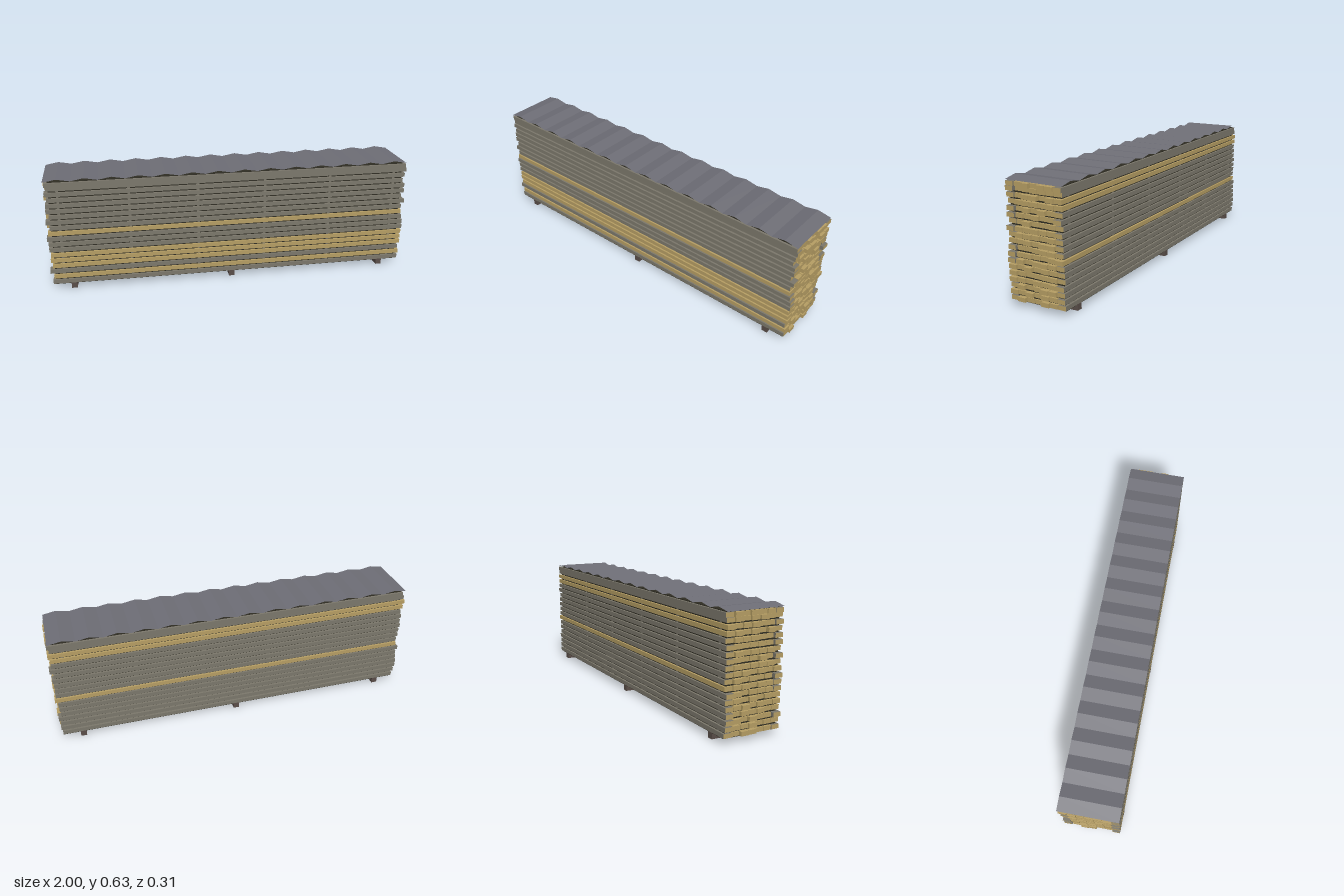
import * as THREE from 'three';

const LAYERS = 18, PITCH = 0.0313, BASE = 0.032, THICK = 0.022;
const COLS = 7, COL_PITCH = 0.0447, BOARD_W = 0.042;

function mat(name, color, side = THREE.FrontSide) {
  const m = new THREE.MeshStandardMaterial({ color, side });
  m.name = name;
  return m;
}

function box(name, w, h, d, x, y, z, material) {
  const mesh = new THREE.Mesh(new THREE.BoxGeometry(w, h, d), material);
  mesh.position.set(x, y, z);
  mesh.name = name;
  return mesh;
}

// Small seeded generator for the uneven board ends
function seeded(seed) {
  return () => {
    seed = (seed * 1664525 + 1013904223) % 4294967296;
    return seed / 4294967296;
  };
}

export function createModel() {
  const root = new THREE.Group();
  root.name = 'lumberStack';
  const fresh = mat('freshWood', 0xb59d63);
  const grey = mat('weatheredWood', 0x7b776b);
  const dark = mat('shadowGap', 0x2f2d23);
  const bearerWood = mat('bearerWood', 0x594d48);
  const sheet = mat('roofSheet', 0x6d6d75, THREE.DoubleSide);
  const weathered = [fresh, fresh, grey, grey, grey, grey]; // sawn ends stay pale
  const random = seeded(11);

  // Bearers under the stack
  for (const x of [-0.875, 0, 0.875]) {
    root.add(box('bearer', 0.032, BASE, 0.312, x, BASE / 2, 0, bearerWood));
  }

  // Dark core seen in the gaps, and dark underside
  root.add(box('core', 1.945, 0.58, 0.288, 0, 0.322, 0, dark));
  root.add(box('underside', 1.96, 0.002, 0.31, 0, 0.0315, 0, dark));

  // Board layers; the last one lies directly on the layer below
  const freshFront = [1, 3, 4, 5, 9], freshBack = [7, 15, 16];
  const boards = new THREE.Group();
  boards.name = 'boards';
  for (let k = 0; k <= LAYERS; k++) {
    const y = k < LAYERS
      ? BASE + THICK / 2 + k * PITCH
      : BASE + THICK * 1.5 + (LAYERS - 1) * PITCH;
    for (let c = 0; c < COLS; c++) {
      const left = 0.978 + random() * 0.022, right = 0.978 + random() * 0.022;
      const isFresh = c === COLS - 1 ? freshFront.includes(k)
        : c === 0 ? freshBack.includes(k) : true;
      boards.add(box('board', left + right, THICK, BOARD_W, (left - right) / 2, y,
        (c - (COLS - 1) / 2) * COL_PITCH, isFresh ? fresh : weathered));
    }
  }
  root.add(boards);

  // Spacer sticks between the layers
  const stickers = new THREE.Group();
  stickers.name = 'spacerSticks';
  for (let k = 0; k < LAYERS - 1; k++) {
    for (let i = 0; i < 6; i++) {
      stickers.add(box('spacerStick', 0.014, PITCH - THICK, 0.292, -0.925 + i * 0.37,
        BASE + k * PITCH + (THICK + PITCH) / 2, 0, grey));
    }
  }
  root.add(stickers);

  // Folded roof sheet
  const waves = 14;
  const geo = new THREE.PlaneGeometry(1.988, 0.312, waves * 2, 1).rotateX(-Math.PI / 2);
  const pos = geo.attributes.position;
  for (let i = 0; i < pos.count; i++) {
    pos.setY(i, (i % (waves * 2 + 1)) % 2 ? 0.627 : 0.614);
  }
  const roofGeo = geo.toNonIndexed();
  roofGeo.computeVertexNormals();
  const roof = new THREE.Mesh(roofGeo, sheet);
  roof.name = 'roofSheet';
  roof.position.x = -0.002;
  root.add(roof);

  return root;
}
